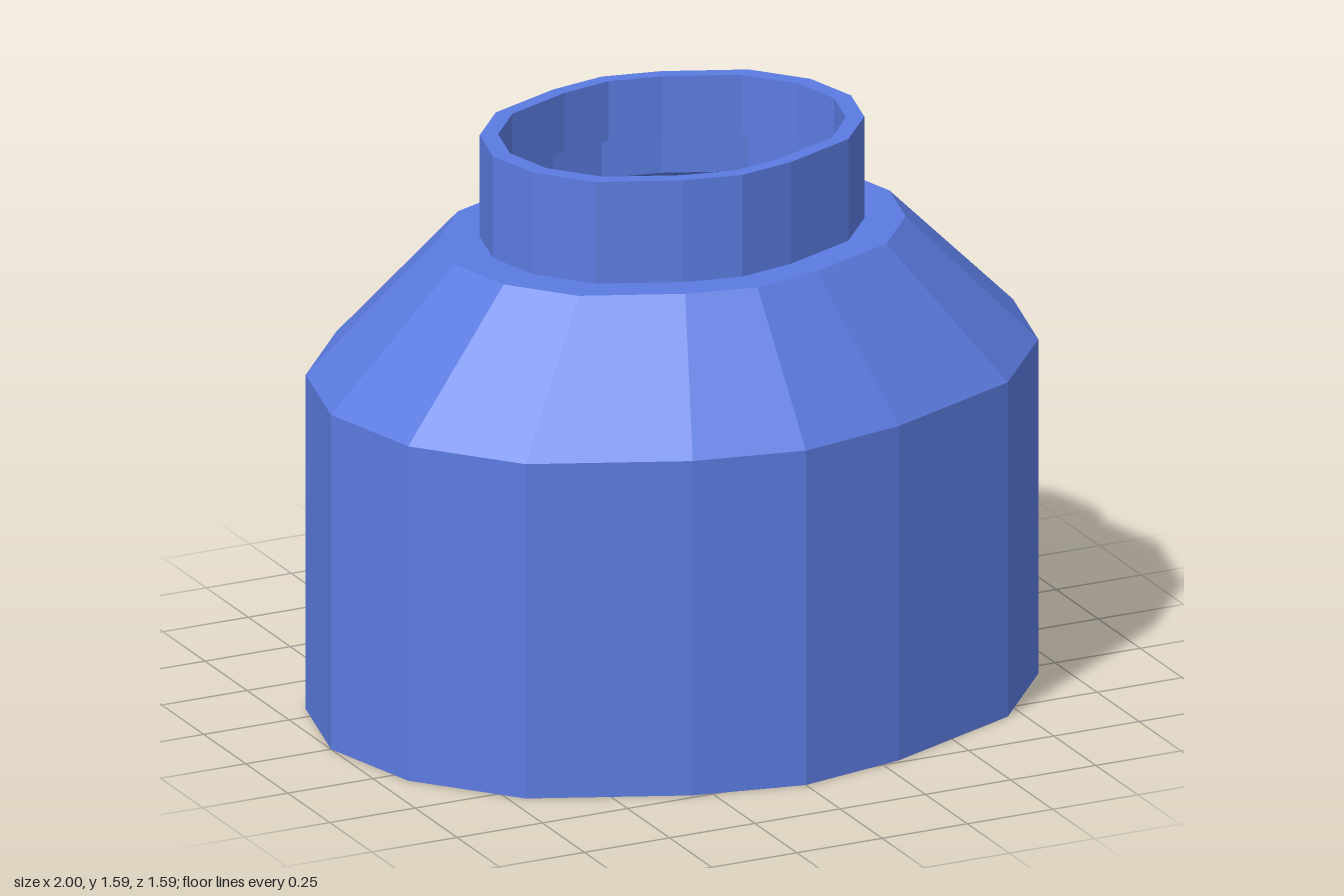
import * as THREE from 'three';

const material = new THREE.MeshStandardMaterial({
  color: 0x5b7be0, flatShading: true, side: THREE.DoubleSide,
});

// Sixteen-sided oval shell turned from a [radius, height] profile
function ovalShell(name, profile) {
  const points = profile.map(([r, y]) => new THREE.Vector2(r, y));
  const geometry = new THREE.LatheGeometry(points, 16);
  const pos = geometry.attributes.position;
  for (let i = 0; i < pos.count; i++) {
    const x = pos.getX(i), z = pos.getZ(i);
    // the corners next to the front and back points sit closer to the middle
    const nearTip = Math.abs(x) < 0.5 * Math.hypot(x, z);
    pos.setX(i, nearTip ? x * 0.79 : x);
    pos.setZ(i, z * 0.797);
  }
  geometry.computeVertexNormals();
  const mesh = new THREE.Mesh(geometry, material);
  mesh.name = name;
  return mesh;
}

export function createModel() {
  const group = new THREE.Group();
  group.name = 'jar';

  // Closed base and straight wall
  group.add(ovalShell('body', [[0, 0], [1, 0], [1, 0.937]]));

  // Sloping shoulder with a flat ledge around the neck
  group.add(ovalShell('shoulder', [[1, 0.937], [0.638, 1.3], [0.525, 1.3]]));

  // Neck with a flat rim and a short lip folded down inside
  group.add(ovalShell('neck', [[0.525, 1.3], [0.525, 1.585], [0.475, 1.585], [0.475, 1.42]]));

  return group;
}
